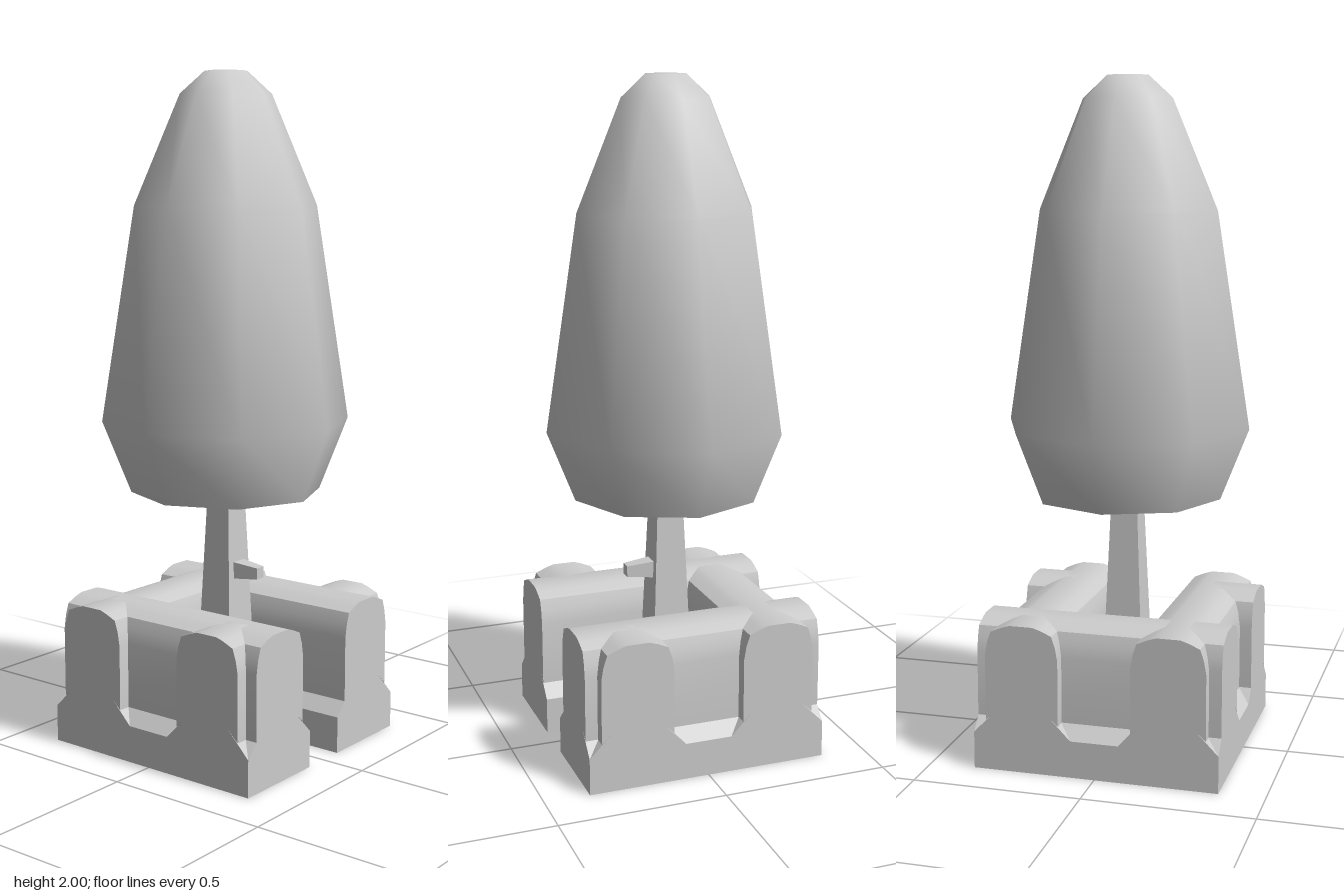
import * as THREE from 'three';
import { toCreasedNormals } from 'three/addons/utils/BufferGeometryUtils.js';

const grey = new THREE.MeshStandardMaterial({ color: 0xcccccc });
grey.name = 'grey';

const V = (x, y) => new THREE.Vector2(x, y);

function add(group, name, geometry) {
  const mesh = new THREE.Mesh(geometry, grey);
  mesh.name = name;
  group.add(mesh);
  return mesh;
}

// Kerb foot, narrow waist and rounded hedge in one half cross-section
const half = [
  [0.147, 0], [0.147, 0.11], [0.078, 0.18], [0.11, 0.15], [0.11, 0.345],
  [0.103, 0.385], [0.092, 0.418], [0.06, 0.432], [0.035, 0.44],
];

function barGeometry(length) {
  const right = half.map(([x, y]) => V(x, y));
  const left = half.map(([x, y]) => V(-x, y)).reverse();
  const geo = new THREE.ExtrudeGeometry(new THREE.Shape([...right, ...left]), {
    depth: length, bevelEnabled: false, steps: 1,
  });
  return toCreasedNormals(geo, 0.7);
}

// Square post tapering from half-width a to half-width b, standing on y = 0
function taperedPost(a, b, height) {
  const geo = new THREE.CylinderGeometry(b * Math.SQRT2, a * Math.SQRT2, height, 4);
  geo.rotateY(Math.PI / 4).translate(0, height / 2, 0);
  return toCreasedNormals(geo, 0.5);
}

export function createModel() {
  const model = new THREE.Group();
  model.name = 'treeWithHedge';
  const reach = 0.365, offset = 0.218;

  // Hedge: full bars on both sides and the back, short ends beside the front opening
  for (const side of [-1, 1]) {
    const bar = add(model, side > 0 ? 'leftHedge' : 'rightHedge', barGeometry(2 * reach));
    bar.position.set(side * offset, 0, -reach);

    const end = add(model, side > 0 ? 'leftFrontHedgeEnd' : 'rightFrontHedgeEnd', barGeometry(reach - offset));
    end.rotation.y = side * Math.PI / 2;
    end.position.set(side * offset, 0, offset);
  }
  const back = add(model, 'backHedge', barGeometry(2 * reach));
  back.rotation.y = Math.PI / 2;
  back.position.set(-reach, 0, -offset);

  // Trunk and its two branch stubs
  add(model, 'trunk', taperedPost(0.07, 0.038, 0.8));
  const frontStub = add(model, 'frontBranchStub', taperedPost(0.027, 0.017, 0.1));
  frontStub.rotation.x = Math.PI / 2;
  frontStub.position.set(0, 0.528, 0.03);
  const sideStub = add(model, 'sideBranchStub', taperedPost(0.03, 0.024, 0.08));
  sideStub.rotation.z = Math.PI / 2;
  sideStub.position.set(-0.035, 0.27, 0);

  // Eight-sided crown
  const profile = [
    V(0, 0.765), V(0.285, 0.765), V(0.37, 0.98), V(0.27, 1.615),
    V(0.135, 1.935), V(0.063, 2), V(0, 2),
  ];
  add(model, 'crown', toCreasedNormals(new THREE.LatheGeometry(profile, 8), 0.96));

  return model;
}
